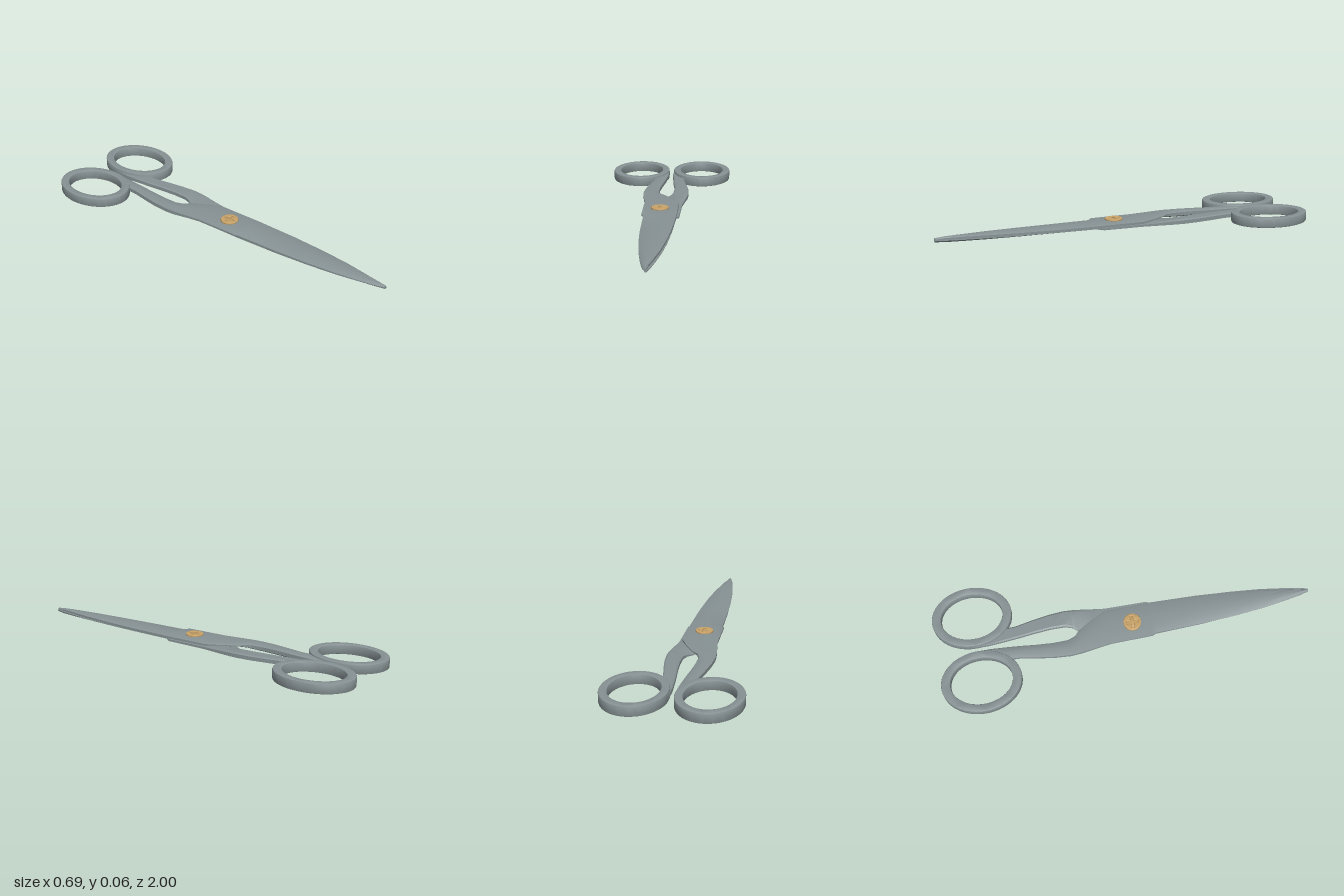
import * as THREE from 'three';
import { toCreasedNormals } from 'three/addons/utils/BufferGeometryUtils.js';

const MID = 0.032; // height of the plane where the two halves meet
const steel = new THREE.MeshStandardMaterial({ color: 0x879294 });
const brass = new THREE.MeshStandardMaterial({ color: 0xc9a368 });

function mesh(name, geometry, material) {
  const m = new THREE.Mesh(geometry, material);
  m.name = name;
  return m;
}

// Skin closed cross-sections (counter-clockwise seen from +z) laid along z.
function loft(sections) {
  const n = sections[0].length, last = sections.length - 1, index = [];
  for (let i = 0; i < last; i++) {
    for (let j = 0; j < n; j++) {
      const a = i * n + j, b = i * n + (j + 1) % n;
      index.push(a, b, a + n, b, b + n, a + n);
    }
  }
  for (let j = 1; j < n - 1; j++) {
    index.push(0, j + 1, j, last * n, last * n + j, last * n + j + 1);
  }
  const g = new THREE.BufferGeometry();
  g.setAttribute('position', new THREE.Float32BufferAttribute(sections.flat(2), 3));
  g.setIndex(index);
  return toCreasedNormals(g, 0.5);
}

// Stations: z, left x, right x, bottom at left, bottom at right, top, left edge height
const STATIONS = [
  [-0.88, -0.045, -0.03, -0.012, -0.012, 0.014, 0.010],
  [-0.80, -0.042, -0.013, -0.014, -0.014, 0.016, 0.011],
  [-0.72, -0.055, -0.012, -0.014, -0.014, 0.016, 0.011],
  [-0.64, -0.085, -0.018, -0.014, -0.014, 0.016, 0.011],
  [-0.57, -0.088, -0.024, -0.014, -0.014, 0.016, 0.011],
  [-0.48, -0.105, -0.034, -0.014, -0.014, 0.016, 0.011],
  [-0.39, -0.119, -0.041, -0.014, -0.014, 0.016, 0.011],
  [-0.31, -0.125, -0.040, -0.014, -0.012, 0.016, 0.011],
  [-0.27, -0.123, -0.025, -0.013, -0.006, 0.016, 0.011],
  [-0.245, -0.121, 0.002, -0.012, 0, 0.016, 0.011],
  [-0.16, -0.110, 0.052, -0.006, 0, 0.016, 0.011],
  [-0.09, -0.101, 0.085, 0, 0, 0.017, 0.011],
  [0.135, -0.098, 0.086, 0, 0, 0.017, 0.010],
  [0.155, -0.086, 0.086, 0, 0, 0.017, 0.004],
  [0.40, -0.080, 0.078, 0, 0, 0.017, 0.003],
  [0.58, -0.070, 0.065, 0, 0, 0.017, 0.003],
  [0.74, -0.055, 0.047, 0, 0, 0.017, 0.003],
  [0.87, -0.036, 0.025, 0, 0, 0.016, 0.003],
  [0.95, -0.022, 0.010, 0, 0, 0.014, 0.003],
  [1.0, -0.009, 0.004, 0, 0, 0.010, 0.003],
];

function bladeSection([z, xl, xr, bl, br, top, edge]) {
  const at = (u, y) => [xl + (xr - xl) * u, y, z];
  const c = (top - bl) * 0.18; // softened lower corners, only on the thick shank
  const soft = bl < -0.001 ? c : 0;
  return [
    at(0.1, bl), at(0.9, br), at(1, br + soft),
    at(1, top - 0.006), at(0.9, top - 0.002), at(0.55, top),
    at(0.2, top - (top - edge) * 0.35), at(0, edge), at(0, bl + soft),
  ];
}

// Oval finger ring with softened rims
function fingerRing() {
  const shape = new THREE.Shape().absellipse(0, 0, 0.165, 0.211, 0, Math.PI * 2);
  shape.holes.push(new THREE.Path().absellipse(0, 0, 0.124, 0.163, 0, Math.PI * 2, true));
  const bevel = 0.006, height = 0.053;
  const g = new THREE.ExtrudeGeometry(shape, {
    depth: height - 2 * bevel, curveSegments: 32, bevelThickness: bevel,
    bevelSize: bevel, bevelOffset: -bevel, bevelSegments: 2,
  });
  g.translate(0, 0, bevel - height / 2);
  g.rotateX(Math.PI / 2);
  g.translate(-0.179, -0.0025, -0.789);
  return toCreasedNormals(g, 0.5);
}

function half(name) {
  const group = new THREE.Group();
  group.name = name;
  group.add(
    mesh('bladeAndShank', loft(STATIONS.map(bladeSection)), steel),
    mesh('fingerRing', fingerRing(), steel),
  );
  group.position.y = MID;
  return group;
}

// Pivot screw: plain dome below, cross-slotted head above
function pivotScrew() {
  const group = new THREE.Group();
  group.name = 'pivotScrew';
  const profile = [[0, -0.026], [0.02, -0.025], [0.036, -0.022], [0.047, -0.016],
    [0.047, 0.016], [0.045, 0.017], [0, 0.017]].map(([x, y]) => new THREE.Vector2(x, y));
  group.add(mesh('screwBody', toCreasedNormals(new THREE.LatheGeometry(profile, 40), 0.6), brass));

  const head = new THREE.Shape().absarc(0, 0, 0.047, 0, Math.PI * 2);
  const w = 0.0075, r = 0.032, cross = [];
  for (let k = 0; k < 4; k++) {
    const c = Math.cos(k * Math.PI / 2), s = Math.sin(k * Math.PI / 2);
    for (const [x, y] of [[w, -w], [r, -w], [r, w]]) {
      cross.push(new THREE.Vector2(x * c - y * s, x * s + y * c));
    }
  }
  head.holes.push(new THREE.Path(cross.reverse()));
  const g = new THREE.ExtrudeGeometry(head, {
    depth: 0.004, curveSegments: 20, bevelThickness: 0.004,
    bevelSize: 0.004, bevelOffset: -0.004, bevelSegments: 2,
  });
  g.rotateX(-Math.PI / 2);
  g.translate(0, 0.017, 0);
  group.add(mesh('slottedHead', toCreasedNormals(g, 0.5), brass));
  group.position.set(-0.008, MID, 0.04);
  return group;
}

export function createModel() {
  const model = new THREE.Group();
  model.name = 'scissors';
  const upper = half('upperHalf');
  const lower = half('lowerHalf');
  lower.rotation.z = Math.PI; // same half turned over
  model.add(upper, lower, pivotScrew());
  return model;
}
